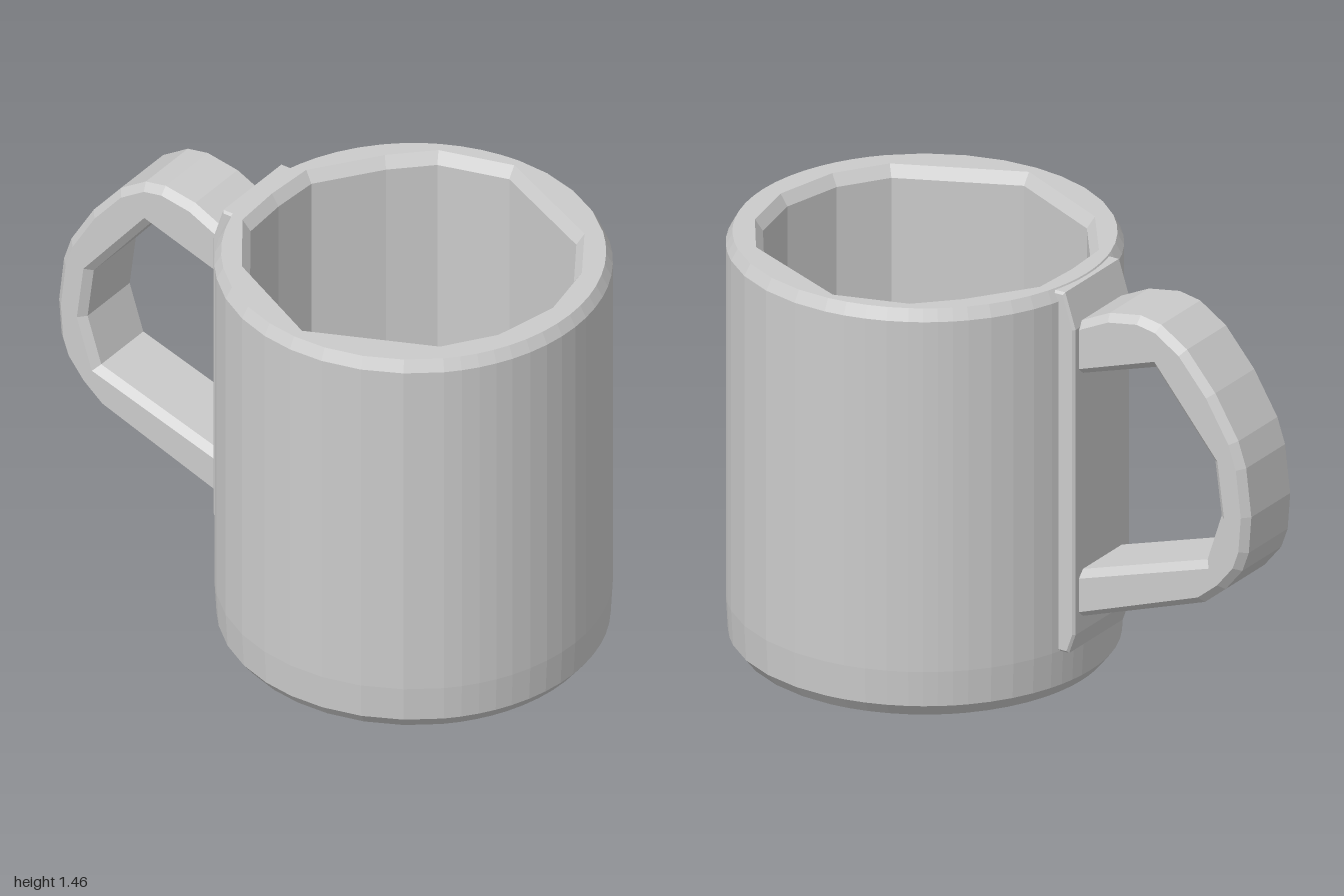
import * as THREE from 'three';

const CZ = 0.345; // cup axis
const material = new THREE.MeshStandardMaterial({ color: 0xcccccc, flatShading: true });

// Faceted inner opening (x, z), ordered from +x towards +z
const OPENING = [
  [0.57, 0.32], [0.39, 0.72], [0.21, 0.84], [0, 0.88], [-0.22, 0.83], [-0.38, 0.72], [-0.56, 0.32],
  [-0.38, -0.04], [-0.17, -0.19], [0, -0.2], [0.17, -0.19], [0.38, -0.04], [0.5, 0.08],
];

// Opening outline with every edge split into short steps
function openingPoints(steps) {
  const points = [];
  OPENING.forEach(([x, z], i) => {
    const [nx, nz] = OPENING[(i + 1) % OPENING.length];
    for (let s = 0; s < steps; s++) {
      points.push([x + (nx - x) * s / steps, z + (nz - z) * s / steps]);
    }
  });
  return points;
}

// Skin over rings of equal point count
function loft(rings) {
  const n = rings[0].length;
  const index = [];
  for (let r = 0; r < rings.length - 1; r++) {
    for (let j = 0; j < n; j++) {
      const k = (j + 1) % n;
      const a = r * n + j, b = r * n + k, c = a + n, d = b + n;
      index.push(a, c, b, b, c, d);
    }
  }
  const geometry = new THREE.BufferGeometry();
  geometry.setAttribute('position', new THREE.Float32BufferAttribute(rings.flat(2), 3));
  geometry.setIndex(index);
  geometry.computeVertexNormals();
  return geometry;
}

// Extrude a (z, y) side profile across x, centred, with bevelled edges
function sideExtrude(profile, width, bevel) {
  const shape = new THREE.Shape(profile.map(([z, y]) => new THREE.Vector2(z, y)));
  const depth = width - 2 * bevel;
  const geometry = new THREE.ExtrudeGeometry(shape, {
    depth, bevelEnabled: true, bevelThickness: bevel, bevelSize: bevel,
    bevelOffset: -bevel, bevelSegments: 1,
  });
  geometry.translate(0, 0, -depth / 2);
  geometry.rotateY(-Math.PI / 2);
  return geometry;
}

export function createModel() {
  const group = new THREE.Group();
  const add = (name, geometry) => {
    const mesh = new THREE.Mesh(geometry, material);
    mesh.name = name;
    group.add(mesh);
  };

  const inner = openingPoints(4);
  const circle = (r, y) => inner.map(([x, z]) => {
    const l = Math.hypot(x, z - CZ);
    return [x / l * r, y, CZ + (z - CZ) / l * r];
  });
  const opening = (scale, y) => inner.map(([x, z]) => [x * scale, y, CZ + (z - CZ) * scale]);
  const square = (y) => inner.map(([x, z]) => [
    THREE.MathUtils.clamp(x, -0.37, 0.38), y, THREE.MathUtils.clamp(z, 0, 0.66)]);
  const centre = (y) => inner.map(() => [0, y, 0.33]);

  // Cup: underside, outer wall, rim, inner wall and square floor
  add('cup', loft([
    centre(0.02), square(0.02), circle(0.57, 0), circle(0.61, 0), circle(0.645, 0.045),
    circle(0.652, 0.17), circle(0.652, 1.42), circle(0.63, 1.46),
    opening(1.05, 1.46), opening(1, 1.42), opening(1, 0.2), square(0.15), centre(0.15),
  ]));

  // Thickened back panel that carries the handle
  add('handleMount', sideExtrude([
    [-0.24, 0.17], [-0.32, 0.17], [-0.345, 0.24], [-0.345, 1.33], [-0.305, 1.455], [-0.24, 1.455],
  ], 0.34, 0.008));

  // Handle loop
  add('handle', sideExtrude([
    [-0.28, 1.31], [-0.345, 1.35], [-0.45, 1.4], [-0.57, 1.42], [-0.65, 1.405], [-0.75, 1.34],
    [-0.86, 1.21], [-0.95, 1.06], [-0.98, 0.97], [-1, 0.8], [-0.99, 0.67], [-0.965, 0.6],
    [-0.9, 0.52], [-0.82, 0.455], [-0.28, 0.27],
    [-0.28, 0.44], [-0.83, 0.61], [-0.885, 0.78], [-0.86, 0.97], [-0.63, 1.25], [-0.28, 1.14],
  ], 0.285, 0.025));

  return group;
}
